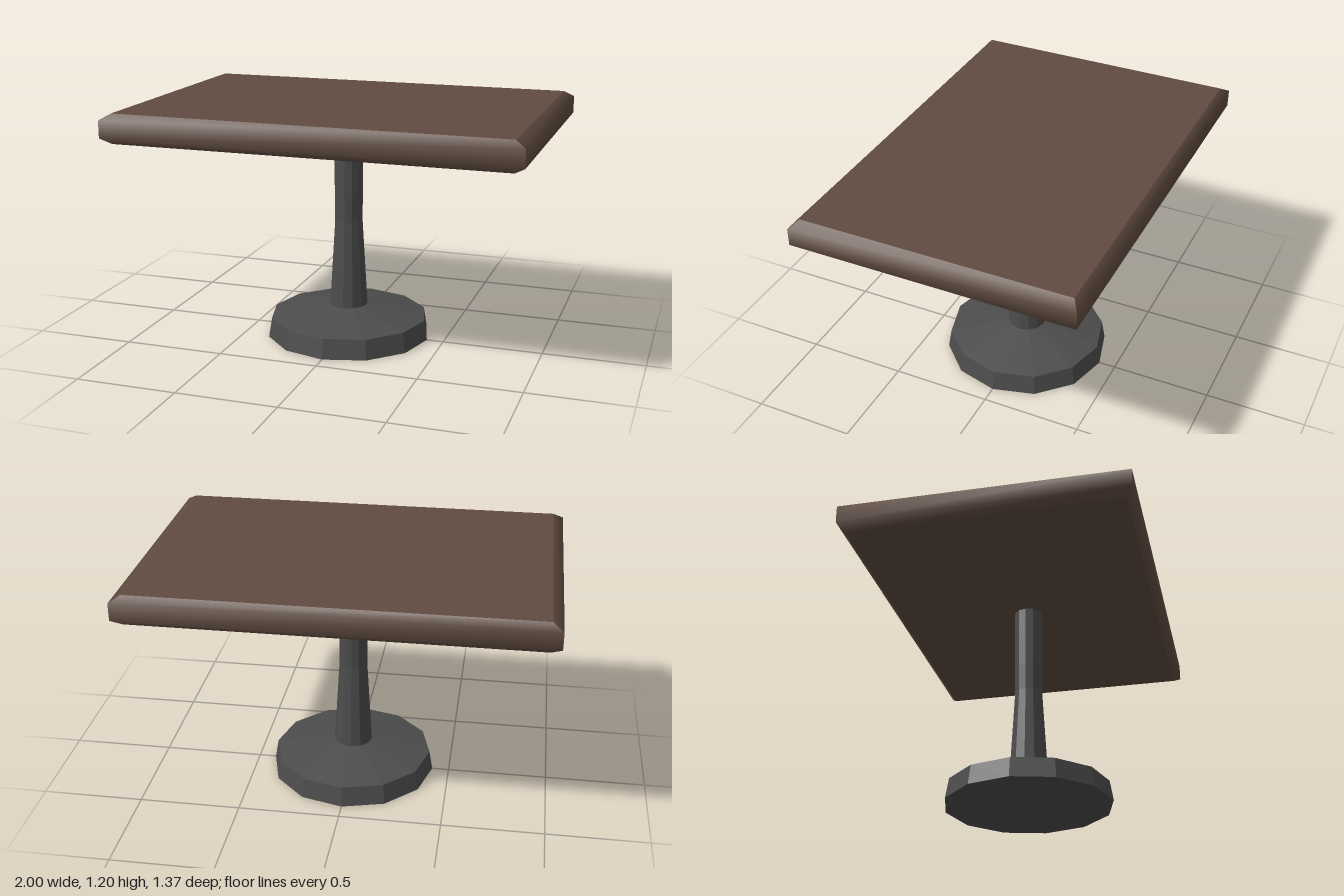
import * as THREE from 'three';

const wood = new THREE.MeshStandardMaterial({ color: 0x604b40 });
wood.name = 'brown wood';
const metal = new THREE.MeshStandardMaterial({ color: 0x4c4c4c, flatShading: true });
metal.name = 'dark grey metal';

// Rings of the tabletop from bottom to top: [half width, y, half depth]
const rings = [
  [0.95, 1.05, 0.65],
  [1, 1.08, 0.684],
  [1, 1.165, 0.684],
  [0.95, 1.195, 0.65],
];
const corners = [[-1, 1], [1, 1], [1, -1], [-1, -1]];
const ringPoint = ([w, y, d], c) => [corners[c % 4][0] * w, y, corners[c % 4][1] * d];

function mesh(name, geometry, material) {
  const m = new THREE.Mesh(geometry, material);
  m.name = name;
  return m;
}

function surface(points, index) {
  const g = new THREE.BufferGeometry();
  g.setAttribute('position', new THREE.Float32BufferAttribute(points.flat(), 3));
  g.setIndex(index);
  g.computeVertexNormals();
  return g;
}

// Flat faces, plus four rounded edge strips that meet sharply at the corners
function createTabletop() {
  const group = new THREE.Group();
  group.name = 'tabletop';
  const cap = (ring) => [0, 1, 2, 3].map((c) => ringPoint(ring, c));
  group.add(mesh('topFace', surface(cap(rings[3]), [0, 1, 2, 0, 2, 3]), wood));
  group.add(mesh('underside', surface(cap(rings[0]), [0, 2, 1, 0, 3, 2]), wood));
  for (let c = 0; c < 4; c++) {
    const points = rings.flatMap((r) => [ringPoint(r, c), ringPoint(r, c + 1)]);
    const index = [];
    for (let i = 0; i < 6; i += 2) index.push(i, i + 1, i + 3, i, i + 3, i + 2);
    group.add(mesh('tableEdge', surface(points, index), wood));
  }
  return group;
}

// Twelve-sided turned part from [radius, y] pairs, bottom to top
function turned(name, profile) {
  const points = profile.map(([r, y]) => new THREE.Vector2(r, y));
  return mesh(name, new THREE.LatheGeometry(points, 12), metal);
}

export function createModel() {
  const model = new THREE.Group();
  model.name = 'pedestalTable';
  model.add(createTabletop());
  model.add(turned('post', [[0.097, 0.155], [0.07, 0.6], [0.072, 0.74], [0.072, 1.05]]));
  model.add(turned('base', [[0, 0], [0.415, 0], [0.398, 0.1], [0.097, 0.156], [0, 0.156]]));
  return model;
}
